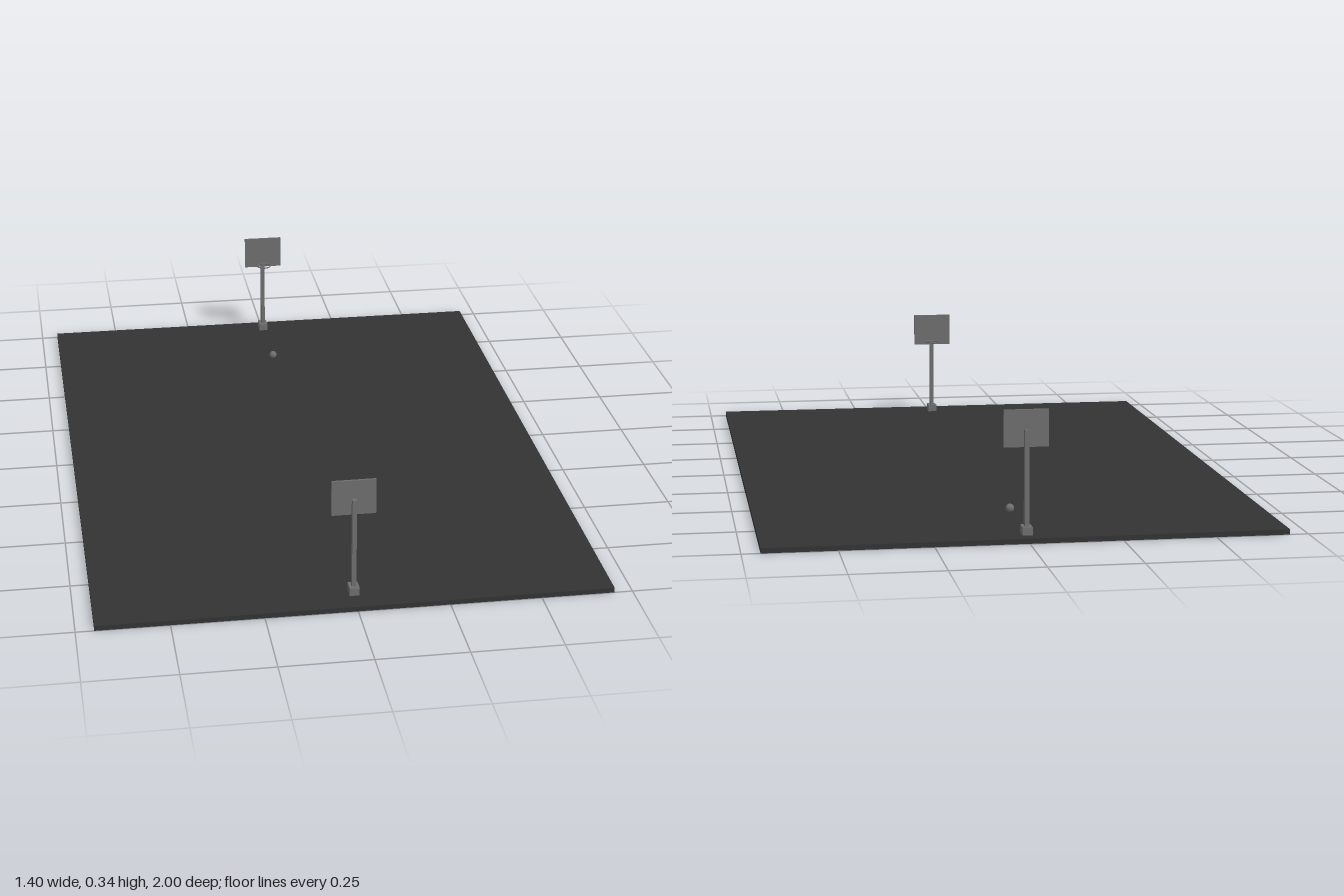
import * as THREE from 'three';

export function createModel() {
  const model = new THREE.Group();
  const floorMat = new THREE.MeshStandardMaterial({ color: 0x333333 });
  floorMat.name = 'charcoal floor';
  const metalMat = new THREE.MeshStandardMaterial({ color: 0x6e6e6e });
  metalMat.name = 'grey metal';

  function add(parent, name, geometry, material, x, y, z) {
    const mesh = new THREE.Mesh(geometry, material);
    mesh.name = name;
    mesh.position.set(x, y, z);
    parent.add(mesh);
    return mesh;
  }

  const floorTop = 0.014;
  add(model, 'courtFloor', new THREE.BoxGeometry(1.4, floorTop, 2), floorMat, 0, floorTop / 2, 0);

  // One hoop stand; its local -z points towards the middle of the court
  function hoopStand(name, z, turn) {
    const stand = new THREE.Group();
    stand.name = name;
    add(stand, 'base', new THREE.BoxGeometry(0.027, 0.022, 0.038), metalMat, 0, 0.025, 0);
    add(stand, 'post', new THREE.BoxGeometry(0.012, 0.257, 0.017), metalMat, 0, 0.1635, 0);
    add(stand, 'backboard', new THREE.BoxGeometry(0.12, 0.1, 0.006), metalMat, 0, 0.295, -0.01);
    // Bracket joins the rim to the board
    add(stand, 'rimBracket', new THREE.BoxGeometry(0.01, 0.004, 0.007), metalMat, 0, 0.257, -0.0155);
    const rim = add(stand, 'rim', new THREE.TorusGeometry(0.022, 0.002, 6, 12), metalMat, 0, 0.257, -0.039);
    rim.rotation.x = Math.PI / 2;
    stand.position.z = z;
    stand.rotation.y = turn;
    model.add(stand);
  }
  hoopStand('frontHoop', 0.921, 0);
  hoopStand('backHoop', -0.946, Math.PI);

  // Ball resting on the court
  add(model, 'ball', new THREE.SphereGeometry(0.012, 16, 12), metalMat, 0, floorTop + 0.012, -0.685);

  return model;
}
